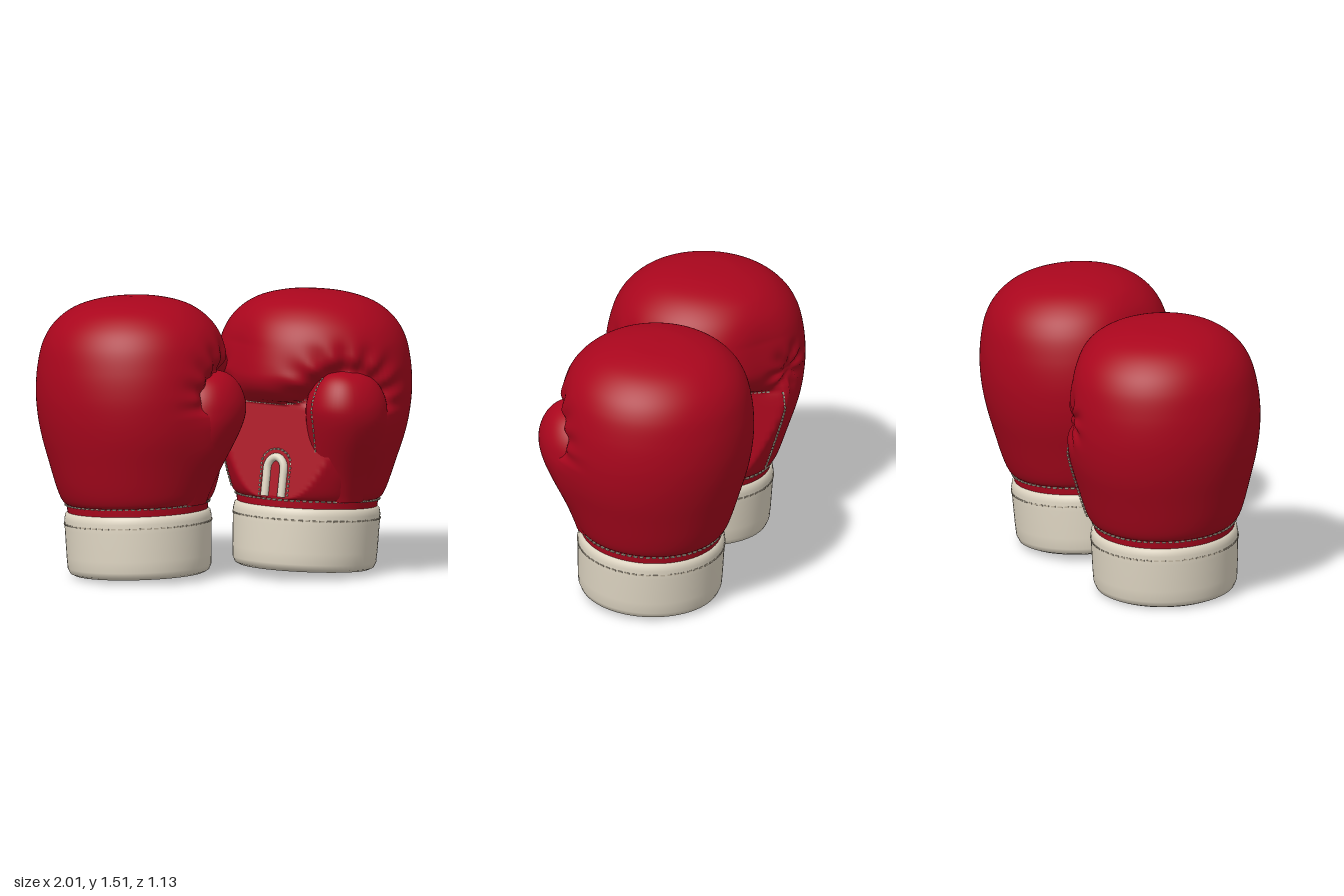
import * as THREE from 'three';
import { mergeGeometries } from 'three/addons/utils/BufferGeometryUtils.js';

const red = new THREE.MeshStandardMaterial({ color: 0xaa061d });
red.name = 'red leather';
const lining = new THREE.MeshStandardMaterial({ color: 0xa6061c, side: THREE.DoubleSide });
lining.name = 'red lining';
const cream = new THREE.MeshStandardMaterial({ color: 0xe0d7c4 });
cream.name = 'cream cuff';
const thread = new THREE.MeshStandardMaterial({ color: 0xb9ae9a });
thread.name = 'stitch thread';

const V2 = (p) => p.map(([x, y]) => new THREE.Vector2(x, y));
const gauss = (x, w) => Math.exp(-((x / w) ** 2));
const { clamp, smoothstep } = THREE.MathUtils;

// Closed smooth surface: rows along s (0..1), rings around angle u
function loft(rows, segs, fn) {
  const pos = [], idx = [];
  for (let i = 0; i <= rows; i++) {
    for (let j = 0; j < segs; j++) {
      pos.push(...fn((j / segs) * Math.PI * 2 - Math.PI, i / rows).toArray());
      if (i === rows) continue;
      const a = i * segs + j, b = i * segs + ((j + 1) % segs), c = a + segs, d = b + segs;
      idx.push(a, b, c, b, d, c);
    }
  }
  const g = new THREE.BufferGeometry();
  g.setAttribute('position', new THREE.Float32BufferAttribute(pos, 3));
  g.setIndex(idx);
  g.computeVertexNormals();
  return g;
}

// Profiles as (radius, height)
const bodyLine = new THREE.SplineCurve(V2([[0.33, 0.374], [0.378, 0.384], [0.405, 0.414], [0.432, 0.49], [0.464, 0.62],
  [0.493, 0.75], [0.511, 0.87], [0.516, 0.99], [0.504, 1.12], [0.471, 1.25], [0.408, 1.35], [0.305, 1.427], [0.16, 1.47], [0, 1.481]]));
const bodySamples = bodyLine.getPoints(300);
const radiusAt = (y) => bodySamples.find((p) => p.y >= y).x;
const thumbLine = new THREE.SplineCurve(V2([[0.12, 0.379], [0.145, 0.46], [0.172, 0.59], [0.195, 0.73], [0.205, 0.85],
  [0.192, 0.95], [0.152, 1.03], [0.09, 1.076], [0, 1.092]]));
const THUMB = 0.89;

// Padded body: full round at the back, flat palm below the curled fingers
const palmZ = (y) => 0.375 - 0.11 * (y - 0.4);
const fingerEdge = (phi) => 0.89 + 0.15 * gauss(phi - THUMB, 0.42);
function bodyPoint(phi, r, y) {
  const flat = Math.abs(phi) < 1.2 ? Math.min(r, palmZ(y) / Math.cos(phi)) : r;
  const t = clamp((y - fingerEdge(phi)) / 0.16, 0, 1);
  const lift = Math.sqrt(1 - (1 - t) ** 2);
  let q = flat + (r - flat) * lift;
  // swelling that carries the thumb smoothly into the side of the hand
  q += 0.05 * gauss(phi - THUMB - 0.2, 0.32) * smoothstep(phi, THUMB - 0.25, THUMB + 0.1)
    * smoothstep(y, 0.42, 0.7) * (1 - smoothstep(y, 0.8, 0.98));
  if (y < 1.4) {
    const fade = clamp((1.4 - y) / 0.2, 0, 1);
    q -= 0.035 * gauss(phi + 0.55, 0.35) * lift * fade;
    // gathered creases around the thumb tip and at the little finger
    const u = (phi - THUMB) * 0.45, v = y - 0.9;
    const rho = Math.hypot(u, v), ang = Math.atan2(v, u);
    const above = clamp((v + 0.03) / 0.08, 0, 1);
    q -= above * fade * (0.04 * gauss(rho - 0.19, 0.045) + 0.009 * (1 + Math.cos(ang * 15)) * gauss(rho - 0.26, 0.09));
    const u2 = (phi + 0.95) * 0.45, v2 = y - 1.0;
    const rho2 = Math.hypot(u2, v2);
    q -= fade * (0.03 * gauss(rho2, 0.06) + 0.01 * (1 + Math.cos(Math.atan2(v2, u2) * 7)) * gauss(rho2 - 0.09, 0.06));
  }
  const wide = 1 + 0.035 * smoothstep(y, 0.45, 0.8);
  return new THREE.Vector3(q * wide * Math.sin(phi), y, q * Math.cos(phi));
}

// Thumb: leaning teardrop, wider on the side that blends into the body
function thumbPoint(u, s) {
  const { x: R, y } = thumbLine.getPoint(s);
  const C = 0.285 + 0.13 * smoothstep(y, 0.39, 0.92);
  const phi = THUMB + 0.2 * clamp((0.88 - y) / 0.48, 0, 1);
  const n = C + R * Math.cos(u);
  const t = R * Math.sin(u) * (u > 0 ? 1.25 : 0.9);
  return new THREE.Vector3(n * Math.sin(phi) + t * Math.cos(phi), y, n * Math.cos(phi) - t * Math.sin(phi));
}

// Row of small dashes along a path
function stitches(path, count) {
  const dashes = [];
  for (let i = 0; i < count; i++) {
    const a = path(i / count), b = path((i + 0.65) / count);
    const g = new THREE.BoxGeometry(0.008, 0.008, a.distanceTo(b));
    const m = new THREE.Matrix4().lookAt(a, b, new THREE.Vector3(0.1, 1, 0.2));
    m.setPosition(a.add(b).multiplyScalar(0.5));
    dashes.push(g.applyMatrix4(m));
  }
  return mergeGeometries(dashes);
}
const ring = (r, y) => (t) => new THREE.Vector3(r * Math.sin(t * 2 * Math.PI), y, r * Math.cos(t * 2 * Math.PI));
const onBody = (phi, y) => bodyPoint(phi, radiusAt(y) + 0.002, y).multiply(new THREE.Vector3(1.008, 1, 1.008));

// Mirror a geometry in x and keep its faces outward
function mirror(g) {
  g.scale(-1, 1, 1);
  const ix = g.index.array;
  for (let i = 0; i < ix.length; i += 3) [ix[i], ix[i + 1]] = [ix[i + 1], ix[i]];
  g.computeVertexNormals();
  return g;
}

// Arch on the palm, as wide as 2 * w and as tall as top
function palmArch(w, top) {
  const base = 0.395, h = top - base;
  const pts = [[-w, 0], [-w, 0.45], [-w * 0.95, 0.8], [-w * 0.55, 0.95], [0, 1], [w * 0.55, 0.95], [w * 0.95, 0.8], [w, 0.45], [w, 0]];
  return new THREE.CatmullRomCurve3(pts.map(([x, k]) => new THREE.Vector3(x, base + h * k, palmZ(base + h * k) + 0.006)));
}

function makeGlove(name, mirrored) {
  const glove = new THREE.Group();
  glove.name = name;
  const add = (part, geo, mat) => {
    const mesh = new THREE.Mesh(mirrored ? mirror(geo) : geo, mat);
    mesh.name = part;
    glove.add(mesh);
  };

  add('paddedBody', loft(130, 132, (u, s) => {
    const p = bodyLine.getPoint(s);
    return bodyPoint(u, Math.max(p.x, 0), p.y);
  }), red);
  add('thumb', loft(40, 48, thumbPoint), red);

  // neck band, cuff and the lining inside it
  add('neckBand', new THREE.CylinderGeometry(0.38, 0.372, 0.07, 72, 1, true).translate(0, 0.364, 0), red);
  add('cuff', new THREE.LatheGeometry(V2([[0.272, 0.15], [0.272, 0.05], [0.282, 0.018], [0.31, 0.003], [0.345, 0],
    [0.37, 0.012], [0.382, 0.04], [0.386, 0.1], [0.391, 0.25], [0.392, 0.3], [0.386, 0.329], [0.37, 0.343],
    [0.34, 0.346]]), 72), cream);
  add('innerLining', new THREE.LatheGeometry(V2([[0.271, 0.1], [0.262, 0.3], [0.24, 0.45], [0.15, 0.54], [0, 0.57]]), 48), lining);

  // lace loop on the palm
  add('palmLoop', new THREE.TubeGeometry(palmArch(0.05, 0.605), 40, 0.022, 10), cream);
  const outline = palmArch(0.086, 0.648);
  add('loopStitching', stitches((t) => outline.getPointAt(t), 26), thread);

  // stitched seams
  add('cuffStitching', stitches(ring(0.391, 0.277), 64), thread);
  add('neckStitching', stitches(ring(0.384, 0.38), 72), thread);
  add('thumbStitching', stitches((t) => thumbPoint(-1.4, 0.06 + 0.74 * t), 28), thread);
  add('fingerStitching', stitches((t) => {
    const phi = -0.75 + 1.15 * t;
    return onBody(phi, fingerEdge(phi) - 0.005);
  }, 26), thread);
  add('palmSideStitching', stitches((t) => onBody(-0.85, 0.42 + 0.47 * t), 24), thread);
  return glove;
}

export function createModel() {
  const model = new THREE.Group();
  model.name = 'boxingGloves';
  const rad = THREE.MathUtils.degToRad;

  const left = makeGlove('leftGlove', false);
  left.rotation.set(rad(-2.5), rad(-38), rad(-3), 'XZY');
  left.position.set(0.428, 0.028, 0);

  const right = makeGlove('rightGlove', true);
  right.rotation.set(rad(-2), rad(114), rad(1.5), 'XZY');
  right.position.set(-0.457, 0.012, 0);

  model.add(left, right);
  return model;
}
